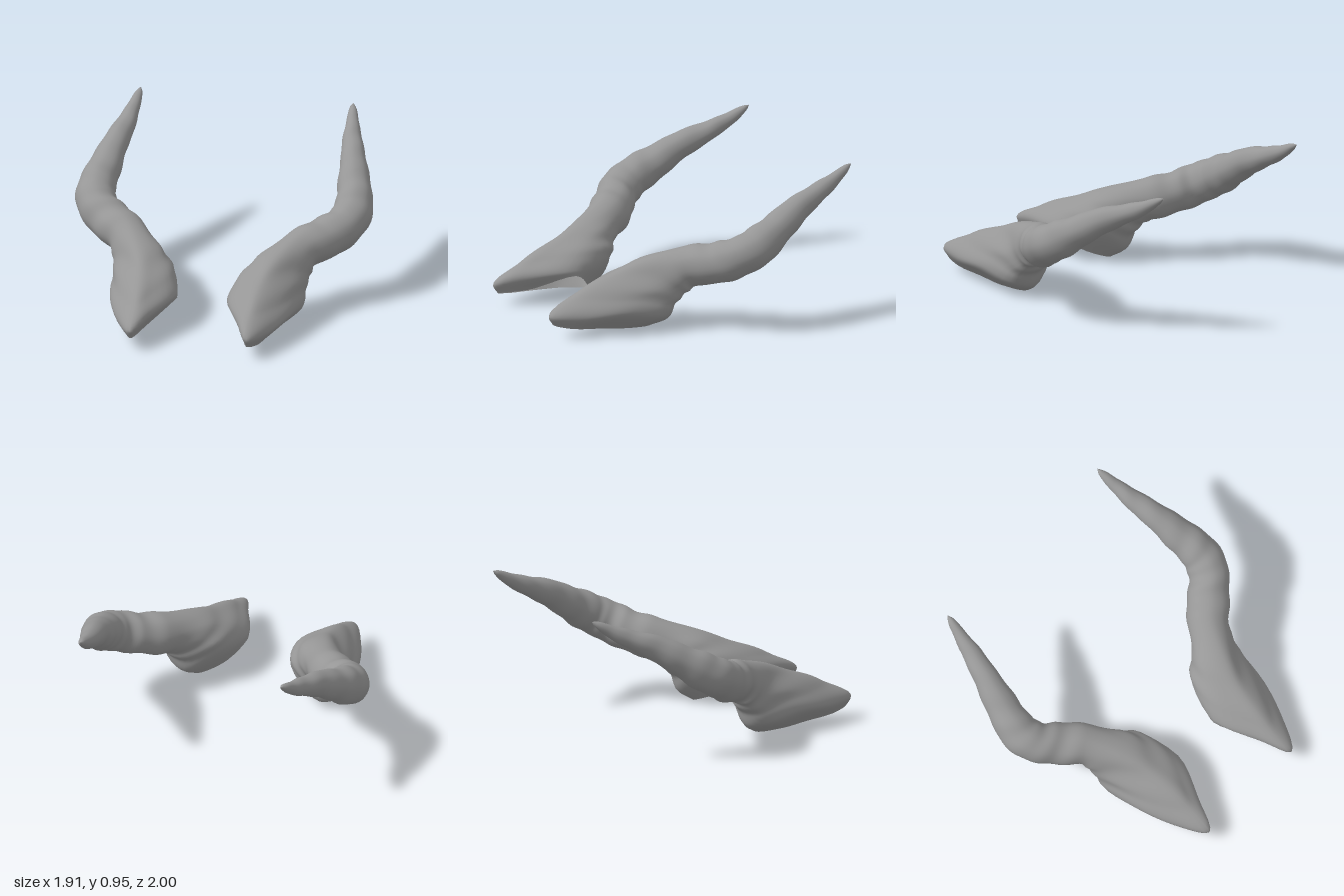
import * as THREE from 'three';

const SIDES = 36;   // points around each ring
const STEPS = 110;  // rings along the horn

// Flared base: eight points per ring, front > inner > back > outer
const BASE = [
  [.37, .08, .97, .31, .09, .78, .16, .185, .52, .26, .07, .38, .42, 0, .29, .47, .01, .45, .45, .03, .65, .42, .05, .86],
  [.375, .14, 1, .28, .18, .82, .165, .22, .52, .25, .19, .27, .46, .06, .20, .60, .09, .28, .59, .14, .53, .49, .13, .82],
  [.38, .255, .80, .30, .29, .66, .22, .32, .42, .26, .28, .22, .45, .17, .16, .61, .17, .23, .595, .22, .42, .50, .24, .66],
  [.42, .395, .48, .36, .42, .37, .32, .40, .25, .36, .33, .14, .50, .24, .10, .62, .235, .15, .62, .30, .26, .53, .36, .38],
];

// Round part of the horn: centre x, y, z and radius
const SHAFT = [
  [.57, .395, .08, .135], [.70, .435, -.04, .133], [.80, .487, -.14, .13], [.83, .55, -.26, .125],
  [.805, .63, -.40, .107], [.77, .725, -.56, .086], [.73, .80, -.73, .064], [.705, .865, -.87, .042],
  [.688, .925, -.97, .02], [.685, .942, -1, .002],
];

function baseRing(row) {
  const points = [];
  for (let k = 0; k < row.length; k += 3) points.push(new THREE.Vector3(row[k], row[k + 1], row[k + 2]));
  return points;
}

function shaftRing([x, y, z, r], i) {
  const before = SHAFT[Math.max(i - 1, 0)], after = SHAFT[Math.min(i + 1, SHAFT.length - 1)];
  const along = new THREE.Vector3(after[0] - before[0], after[1] - before[1], after[2] - before[2]).normalize();
  const top = new THREE.Vector3(0, 1, 0.3);
  top.addScaledVector(along, -top.dot(along)).normalize();
  const inner = new THREE.Vector3().crossVectors(top, along);
  return Array.from({ length: 8 }, (_, k) => {
    const a = k * Math.PI / 4;
    return new THREE.Vector3(x, y, z)
      .addScaledVector(top, r * Math.cos(a))
      .addScaledVector(inner, r * Math.sin(a));
  });
}

function hornGeometry(side) {
  // Smooth each ring around, then each column along the horn
  const rings = [...BASE.map(baseRing), ...SHAFT.map(shaftRing)]
    .map(points => new THREE.CatmullRomCurve3(points, true));
  const columns = [];
  for (let j = 0; j < SIDES; j++) {
    columns.push(new THREE.CatmullRomCurve3(rings.map(ring => ring.getPoint(j / SIDES))));
  }

  const position = [], index = [];
  for (let i = 0; i <= STEPS; i++) {
    const t = i / STEPS;
    const ring = columns.map(column => column.getPoint(t));
    const centre = new THREE.Vector3();
    ring.forEach(p => centre.addScaledVector(p, 1 / SIDES));
    // Slanted growth ridges, fading out at the rim
    const strength = 0.026 * THREE.MathUtils.smoothstep(t, 0.08, 0.22);
    ring.forEach((p, j) => {
      const a = j / SIDES * Math.PI * 2;
      const ridge = Math.sin(t * 80 + 1.5 * Math.sin(a)) + 0.7 * Math.sin(t * 47 + 2 * a);
      p.sub(centre).multiplyScalar(1 + strength * ridge).add(centre);
      position.push(side * p.x, p.y, p.z);
    });
  }
  for (let i = 0; i < STEPS; i++) {
    for (let j = 0; j < SIDES; j++) {
      const a = i * SIDES + j, b = i * SIDES + (j + 1) % SIDES;
      const c = a + SIDES, d = b + SIDES;
      if (side > 0) index.push(a, c, b, b, c, d);
      else index.push(a, b, c, b, d, c);
    }
  }
  const geometry = new THREE.BufferGeometry();
  geometry.setAttribute('position', new THREE.Float32BufferAttribute(position, 3));
  geometry.setIndex(index);
  geometry.computeVertexNormals();
  return geometry;
}

export function createModel() {
  const group = new THREE.Group();
  group.name = 'hornPair';
  // Horns are hollow and open at the base
  const material = new THREE.MeshStandardMaterial({ color: 0x969696, side: THREE.DoubleSide });
  for (const [name, side] of [['leftHorn', 1], ['rightHorn', -1]]) {
    const horn = new THREE.Mesh(hornGeometry(side), material);
    horn.name = name;
    group.add(horn);
  }
  return group;
}
